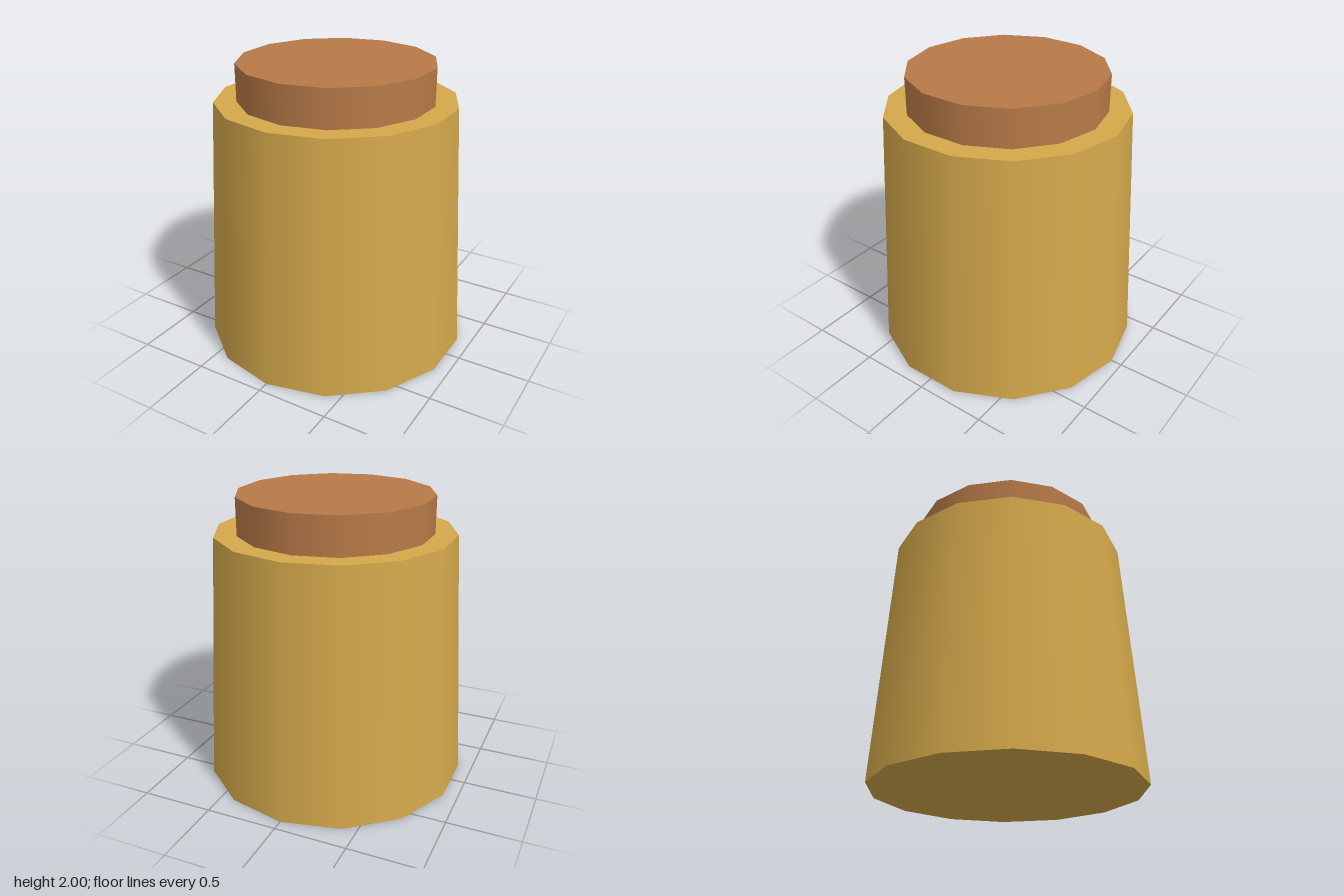
import * as THREE from 'three';

const SIDES = 14;

export function createModel() {
  const group = new THREE.Group();
  const gold = new THREE.MeshStandardMaterial({ color: 0xd4a84b });
  gold.name = 'gold';
  const cork = new THREE.MeshStandardMaterial({ color: 0xb87a48 });
  cork.name = 'cork brown';

  // Capped round part standing between two heights
  const addRound = (name, rTop, rBottom, y0, y1, material) => {
    const geometry = new THREE.CylinderGeometry(rTop, rBottom, y1 - y0, SIDES);
    const mesh = new THREE.Mesh(geometry, material);
    mesh.name = name;
    mesh.position.y = (y0 + y1) / 2;
    group.add(mesh);
  };

  // Tapered body
  addRound('body', 0.82, 0.923, 0, 1.745, gold);
  // Straight stopper set into the top of the body
  addRound('stopper', 0.667, 0.667, 1.7, 2, cork);

  return group;
}
